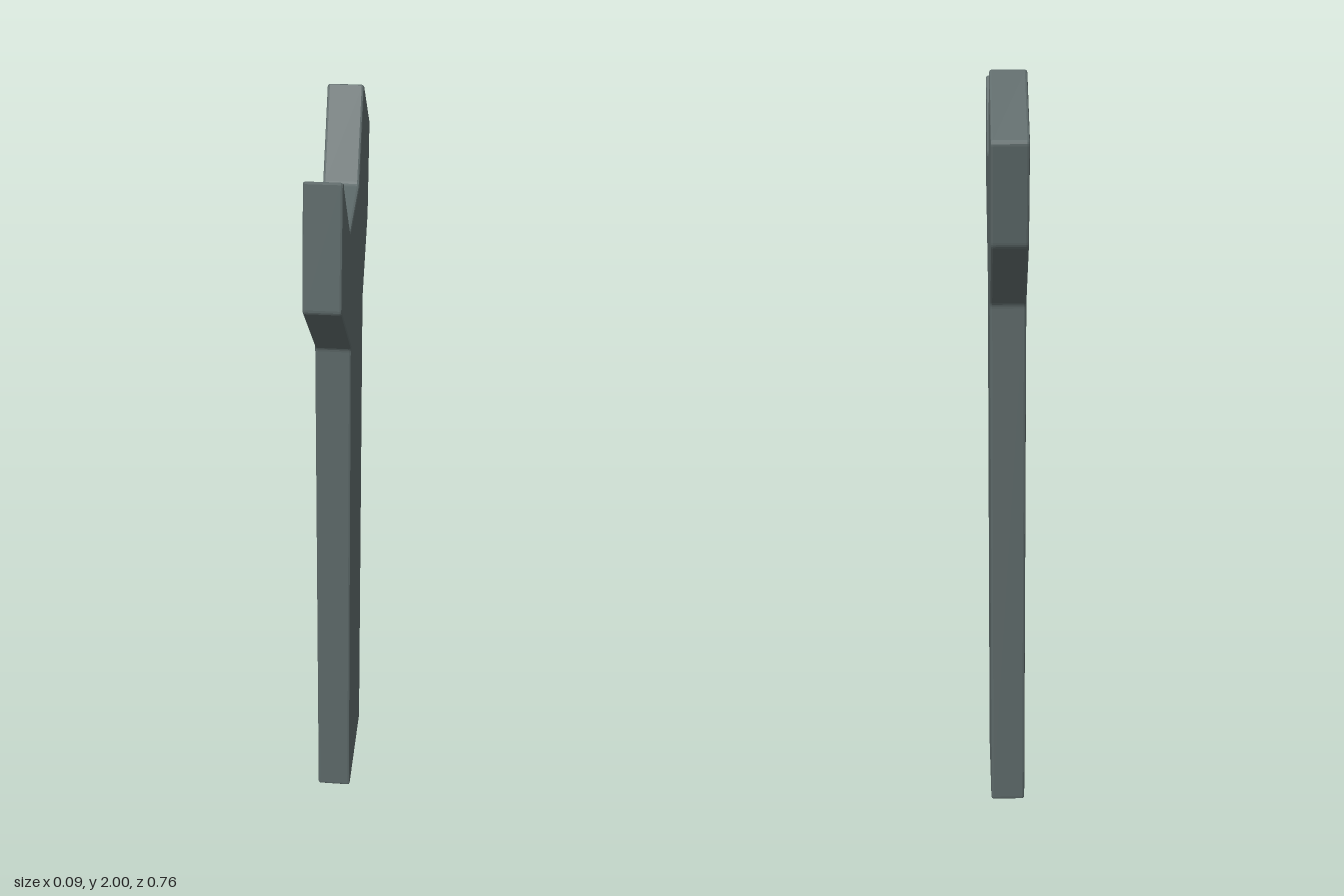
import * as THREE from 'three';

// Spanner outline as [z, y], going up the front edge and down the back
const OUTLINE = [
  [0.132, 0], [0.132, 1.422], [0.382, 1.625], [0.347, 1.935], [0.17, 1.745],
  [-0.07, 1.78], [-0.193, 2.003], [-0.38, 1.852], [-0.345, 1.602], [-0.2, 1.422], [-0.2, 0],
];
const HALF_WIDTH = 0.046;
const BEVEL = 0.006;
const ROUND = 0.009;

// Outline with every corner slightly rounded
function roundedShape(points, r) {
  const pts = points.map(([z, y]) => new THREE.Vector2(-z, y));
  const shape = new THREE.Shape();
  pts.forEach((p, i) => {
    const prev = pts[(i + pts.length - 1) % pts.length];
    const next = pts[(i + 1) % pts.length];
    const a = p.clone().add(prev.clone().sub(p).setLength(r));
    const b = p.clone().add(next.clone().sub(p).setLength(r));
    if (i === 0) shape.moveTo(a.x, a.y);
    else shape.lineTo(a.x, a.y);
    shape.quadraticCurveTo(p.x, p.y, b.x, b.y);
  });
  shape.closePath();
  return shape;
}

export function createModel() {
  const steel = new THREE.MeshStandardMaterial({ color: 0x5c6868 });
  steel.name = 'dark steel';

  // Flat plate with softened edges, turned so its thickness runs along x
  const depth = 2 * (HALF_WIDTH - BEVEL);
  const geometry = new THREE.ExtrudeGeometry(roundedShape(OUTLINE, ROUND), {
    depth,
    curveSegments: 3,
    bevelEnabled: true,
    bevelThickness: BEVEL,
    bevelSize: BEVEL,
    bevelOffset: -BEVEL,
    bevelSegments: 2,
  });
  geometry.translate(0, 0, -depth / 2);
  geometry.rotateY(Math.PI / 2);

  const spanner = new THREE.Mesh(geometry, steel);
  spanner.name = 'spannerBody';

  const group = new THREE.Group();
  group.name = 'openEndSpanner';
  group.add(spanner);
  return group;
}
